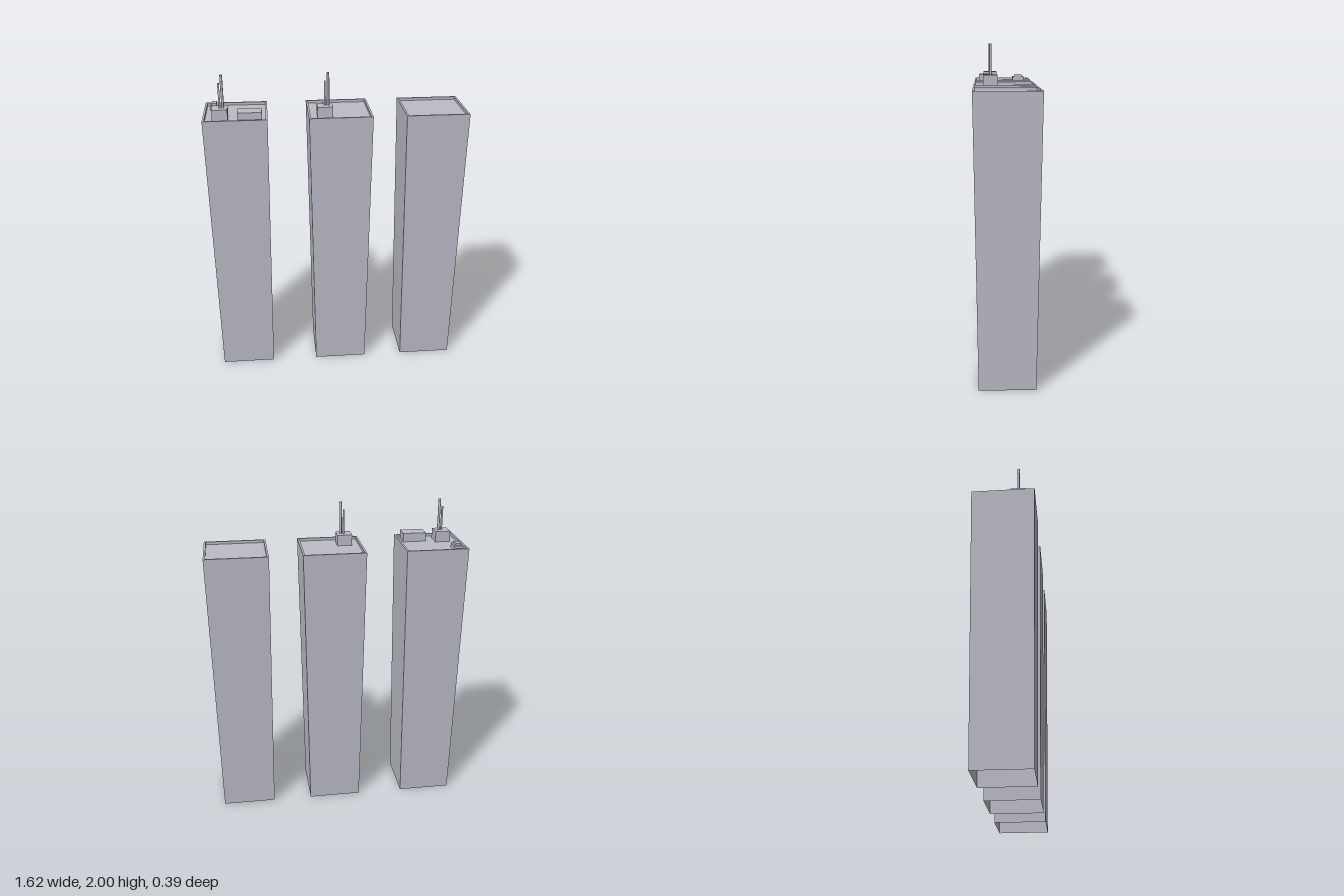
import * as THREE from 'three';

const TOP = 1.75, ROOF = 1.733;

// Tapered square shell, open underneath, with a parapet around the sunken roof
function shellGeometry() {
  const k = Math.SQRT2;
  const profile = [[0.17, 0], [0.194, TOP], [0.182, TOP], [0.182, ROOF]]
    .map(([half, y]) => new THREE.Vector2(half * k, y));
  const geo = new THREE.LatheGeometry(profile, 4, Math.PI / 4).toNonIndexed();
  geo.computeVertexNormals();
  return geo;
}

export function createModel() {
  const model = new THREE.Group();
  model.name = 'towers';
  const concrete = new THREE.MeshStandardMaterial({ color: 0xbcbcc8, side: THREE.DoubleSide });
  concrete.name = 'pale grey concrete';

  const add = (parent, name, geo, x = 0, y = 0, z = 0) => {
    const mesh = new THREE.Mesh(geo, concrete);
    mesh.name = name;
    mesh.position.set(x, y, z);
    parent.add(mesh);
    return mesh;
  };

  // Box standing on the roof, given by its centre, footprint and top height
  const roofBox = (parent, name, x, z, w, d, top) =>
    add(parent, name, new THREE.BoxGeometry(w, top - ROOF, d), x, (top + ROOF) / 2, z);

  // Equipment hut carrying a tall mast and a thinner, shorter one
  const addMasts = (tower, x) => {
    roofBox(tower, 'mastHut', x, 0.088, 0.094, 0.094, 1.8);
    add(tower, 'tallMast', new THREE.CylinderGeometry(0.008, 0.008, 0.2, 8), x + 0.02, 1.9, 0.088);
    add(tower, 'shortMast', new THREE.BoxGeometry(0.01, 0.15, 0.01), x + 0.001, 1.875, 0.088);
  };

  const shell = shellGeometry();
  const [right, middle] = [['rightTower', -0.616], ['middleTower', 0.02], ['leftTower', 0.612]]
    .map(([name, x]) => {
      const tower = new THREE.Group();
      tower.name = name;
      tower.position.x = x;
      add(tower, 'shell', shell);
      add(tower, 'roof', new THREE.PlaneGeometry(0.364, 0.364), 0, ROOF, 0).rotation.x = -Math.PI / 2;
      model.add(tower);
      return tower;
    });

  // Rooftop equipment
  addMasts(right, -0.091);
  addMasts(middle, -0.093);
  roofBox(right, 'plantRoom', 0.088, 0.117, 0.146, 0.094, 1.788);
  roofBox(right, 'ventBase', -0.135, -0.12, 0.05, 0.082, 1.76);
  roofBox(right, 'ventCap', -0.135, -0.12, 0.03, 0.056, 1.773);

  return model;
}
